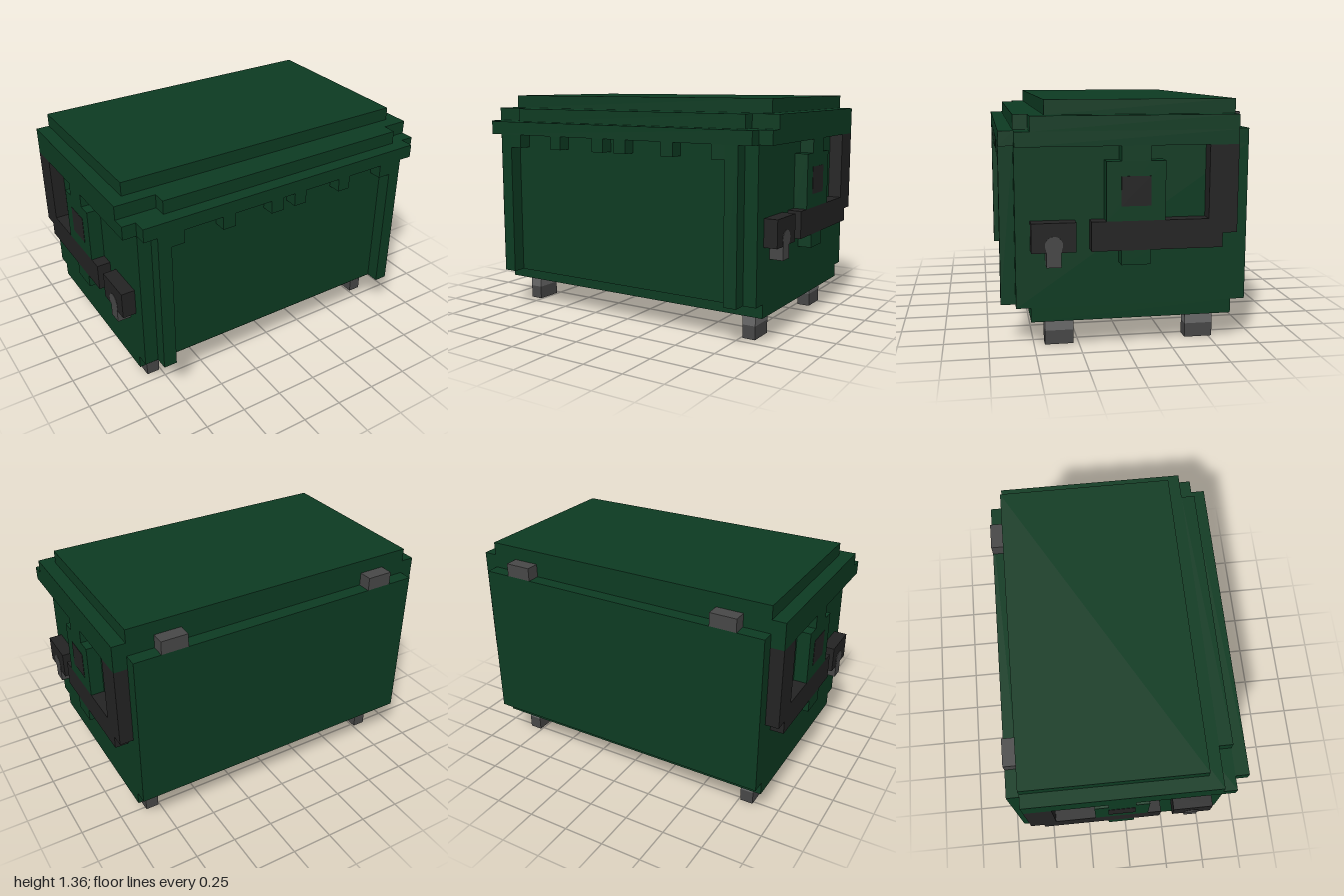
import * as THREE from 'three';

const green = new THREE.MeshStandardMaterial({ name: 'dark green paint', color: 0x0d3b22 });
const black = new THREE.MeshStandardMaterial({ name: 'black steel', color: 0x232323 });
const lightGrey = new THREE.MeshStandardMaterial({ name: 'light grey metal', color: 0x6a6a6a });
const darkGrey = new THREE.MeshStandardMaterial({ name: 'dark grey metal', color: 0x474747 });

const SIDE = 0.92; // half width of the body
const T = 0.08;    // thickness of every raised part

export function createModel() {
  const model = new THREE.Group();
  model.name = 'wasteContainer';

  // Box given by its limits on each axis
  function box(name, material, [x0, x1], [y0, y1], [z0, z1]) {
    const geometry = new THREE.BoxGeometry(x1 - x0, y1 - y0, z1 - z0);
    geometry.translate((x0 + x1) / 2, (y0 + y1) / 2, (z0 + z1) / 2);
    const mesh = new THREE.Mesh(geometry, material);
    mesh.name = name;
    model.add(mesh);
  }

  // Side outline in (-z, y), extruded outwards from the distance "from" on both sides
  function sidePart(name, material, shape, from = SIDE, depth = T) {
    for (const s of [1, -1]) {
      const geometry = new THREE.ExtrudeGeometry(shape, { depth, bevelEnabled: false, curveSegments: 8 });
      geometry.rotateY(Math.PI / 2);
      geometry.translate(s > 0 ? from : -from - depth, 0, 0);
      const mesh = new THREE.Mesh(geometry, material);
      mesh.name = (s > 0 ? 'left' : 'right') + name;
      model.add(mesh);
    }
  }
  const outline = (points) => new THREE.Shape(points.map(([z, y]) => new THREE.Vector2(-z, y)));
  const rect = (z0, z1, y0, y1) => outline([[z1, y0], [z0, y0], [z0, y1], [z1, y1]]);

  // Body
  box('floor', green, [-SIDE, SIDE], [0.16, 0.24], [-0.6, 0.52]);
  box('body', green, [-SIDE, SIDE], [0.24, 1.12], [-0.68, 0.6]);

  // Rim
  box('rim', green, [-1, 1], [1.12, 1.2], [-0.6, 0.6]);
  box('frontRim', green, [-SIDE, SIDE], [1.12, 1.2], [0.6, 0.68]);
  box('backRim', green, [-SIDE, SIDE], [1.12, 1.2], [-0.68, -0.6]);

  // Lid
  box('lidBase', green, [-1, 1], [1.2, 1.28], [-0.6, 0.52]);
  box('lidLip', green, [-0.76, 0.84], [1.2, 1.28], [0.52, 0.6]);
  box('lidTop', green, [-SIDE, SIDE], [1.28, 1.36], [-0.6, 0.44]);

  // Front ribs, rim teeth, hinges and feet
  for (const s of [-1, 1]) {
    const span = (a, b) => (s > 0 ? [a, b] : [-b, -a]);
    box('frontRib', green, span(0.76, 0.84), [0.24, 1.12], [0.6, 0.68]);
    for (const x of [0.04, 0.36, 0.68]) {
      box('rimTooth', green, span(x, x + T), [1.04, 1.12], [0.6, 0.68]);
    }
    box('hinge', darkGrey, span(0.6, 0.76), [1.2, 1.28], [-0.68, -0.6]);
    for (const z of [0.28, -0.52]) {
      box('footTop', lightGrey, span(0.76, 0.84), [0.08, 0.16], [z, z + 0.16]);
      box('footBase', darkGrey, span(0.76, 0.84), [0, 0.08], [z, z + 0.16]);
    }
  }

  // Side plate with its neck, lower tab and painted square
  sidePart('SidePlate', green, outline([
    [0.12, 0.72], [-0.2, 0.72], [-0.2, 1.04], [-0.12, 1.04],
    [-0.12, 1.12], [0.04, 1.12], [0.04, 1.04], [0.12, 1.04],
  ]));
  sidePart('PlateTab', green, rect(-0.12, 0.04, 0.48, 0.56));
  sidePart('PlateSquare', black, rect(-0.12, 0.04, 0.8, 0.96), 1, 0.002);

  // Bent lifting arm and the latch block ahead of it
  sidePart('LiftArm', black, outline([
    [0.2, 0.56], [-0.52, 0.56], [-0.52, 0.64], [-0.6, 0.64],
    [-0.6, 1.12], [-0.44, 1.12], [-0.44, 0.72], [0.2, 0.72],
  ]));
  sidePart('LatchBlock', black, rect(0.28, 0.52, 0.56, 0.72));

  // Latch hook with a round painted head
  sidePart('LatchHook', darkGrey, rect(0.36, 0.44, 0.48, 0.56));
  const head = new THREE.Shape();
  head.moveTo(-0.44, 0.56);
  head.lineTo(-0.36, 0.56);
  head.absarc(-0.4, 0.6, 0.048, -0.5, Math.PI + 0.5, false);
  sidePart('LatchHead', darkGrey, head, 1, 0.002);

  return model;
}
